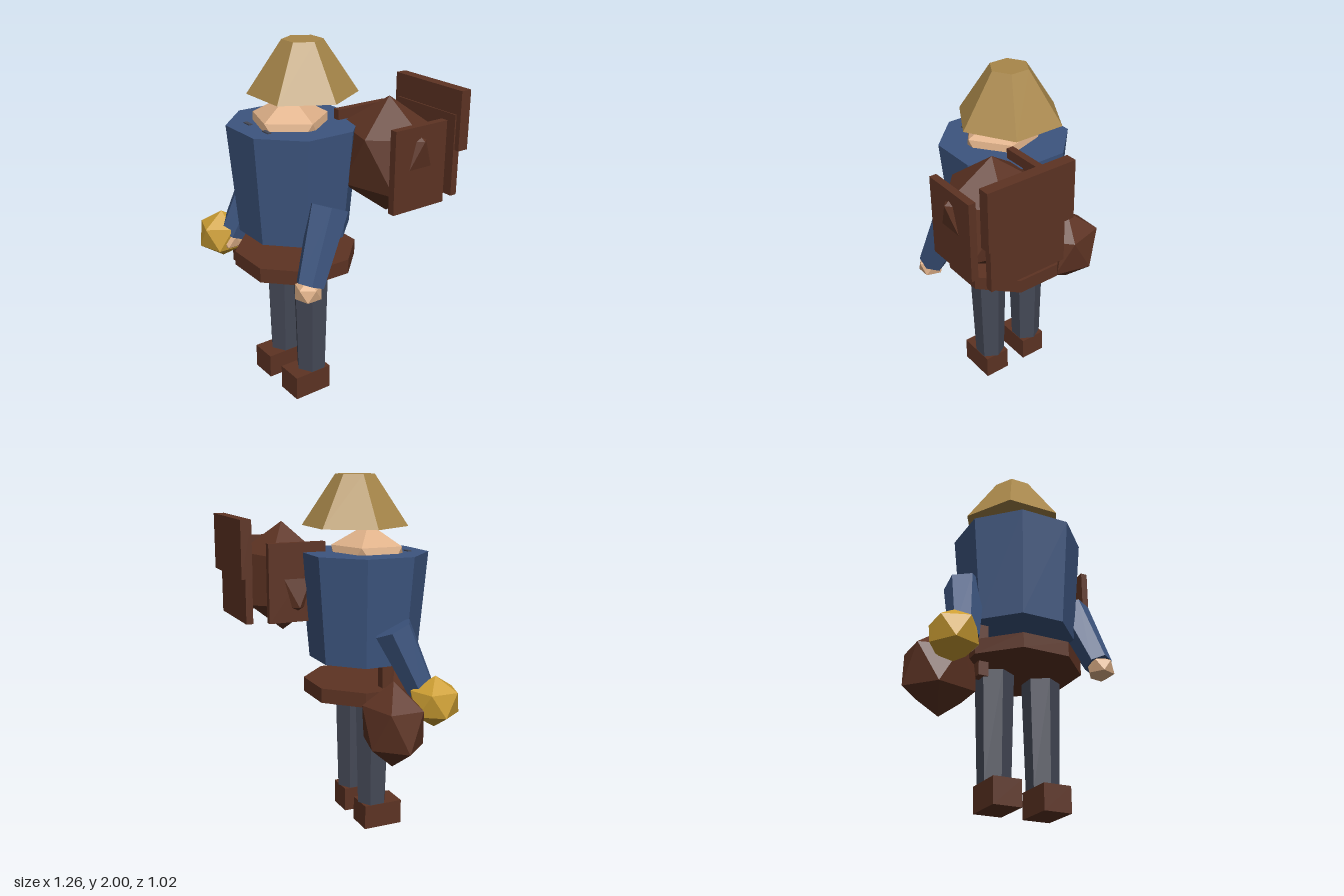
import * as THREE from 'three';

export function createModel() {
  const model = new THREE.Group();
  model.name = 'traveller';

  const paint = (name, color) => {
    const m = new THREE.MeshStandardMaterial({ color, flatShading: true });
    m.name = name;
    return m;
  };
  const straw = paint('straw', 0xa8874a);
  const blue = paint('blueCloth', 0x3d557f);
  const grey = paint('greyCloth', 0x454957);
  const brown = paint('brownLeather', 0x5d3323);
  const skin = paint('skin', 0xdeb088);
  const gold = paint('gold', 0xcc9e33);

  const add = (name, geometry, material, x, y, z) => {
    const mesh = new THREE.Mesh(geometry, material);
    mesh.name = name;
    mesh.position.set(x, y, z);
    model.add(mesh);
    return mesh;
  };

  // box given by its limits on each axis
  const box = (name, material, [x0, x1], [y0, y1], [z0, z1]) =>
    add(name, new THREE.BoxGeometry(x1 - x0, y1 - y0, z1 - z0), material,
      (x0 + x1) / 2, (y0 + y1) / 2, (z0 + z1) / 2);

  // upright faceted drum, turned about y
  const drum = (name, material, rTop, rBottom, y0, y1, sides, turn, x, z) =>
    add(name, new THREE.CylinderGeometry(rTop, rBottom, y1 - y0, sides).rotateY(turn),
      material, x, (y0 + y1) / 2, z);

  // twenty-sided ball standing on a corner
  const ball = (name, material, rx, ry, rz, x, y, z) => {
    const g = new THREE.IcosahedronGeometry(1, 0);
    g.rotateX(-Math.atan((1 + Math.sqrt(5)) / 2)).rotateY(Math.PI / 2).scale(rx, ry, rz);
    return add(name, g, material, x, y, z);
  };

  const midX = 0.007;

  // head, hat and body
  drum('hat', straw, 0.108, 0.295, 1.72, 2.0, 6, Math.PI / 6, 0.01, 0.121);
  ball('head', skin, 0.235, 0.212, 0.232, 0.01, 1.518, 0.205);
  drum('torso', blue, 0.36, 0.308, 0.977, 1.575, 8, Math.PI / 8, midX, 0.178);
  drum('belt', brown, 0.341, 0.341, 0.768, 0.85, 8, Math.PI / 8, midX, 0.176);

  for (const side of [-1, 1]) {
    const label = side > 0 ? 'left' : 'right';

    // eyes barely rise through the collar
    const ex = 0.009 + side * 0.091;
    box(label + 'Eye', grey, [ex - 0.027, ex + 0.027], [1.53, 1.581], [0.394, 0.415]);

    // leg and boot
    const lx = midX + side * 0.139;
    drum(label + 'Leg', grey, 0.104, 0.087, 0.14, 0.73, 6, 0, lx, 0.172);
    box(label + 'Boot', brown, [lx - 0.078, lx + 0.078], [0, 0.14], [0.095, 0.325]);

    // arm slopes outward and forward to the hand
    const shoulder = new THREE.Vector3(midX + side * 0.333, 1.2, 0.192);
    const wrist = new THREE.Vector3(midX + side * 0.398, 0.825, 0.355);
    const along = shoulder.clone().sub(wrist);
    const mid = shoulder.clone().add(wrist).multiplyScalar(0.5);
    const arm = add(label + 'Arm', new THREE.CylinderGeometry(0.11, 0.078, along.length(), 6),
      blue, mid.x, mid.y, mid.z);
    arm.quaternion.setFromUnitVectors(new THREE.Vector3(0, 1, 0), along.normalize());
    ball(label + 'Hand', skin, 0.08, 0.072, 0.08, midX + side * 0.402, 0.795, 0.37);
  }

  // lantern held in the right hand
  ball('lantern', gold, 0.143, 0.143, 0.15, -0.46, 0.808, 0.383);

  // hip pouch and its strap
  ball('pouch', brown, 0.225, 0.24, 0.18, -0.433, 0.7, 0.145);
  box('pouchStrap', brown, [-0.255, -0.2], [0.69, 0.98], [0.17, 0.24]);

  // backpack: bundle, two side boards and a two-part back board
  ball('packBundle', brown, 0.316, 0.317, 0.266, 0.347, 1.412, -0.186);
  for (const x of [0.095, 0.562]) {
    box('packSideBoard', brown, [x, x + 0.04], [1.188, 1.63], [-0.355, 0.018 - 0.037]);
  }
  box('packUpperBoard', brown, [0.095, 0.602], [1.445, 1.765], [-0.51, -0.448]);
  box('packLowerBoard', brown, [0.125, 0.573], [1.19, 1.635], [-0.48, -0.44]);

  return model;
}
